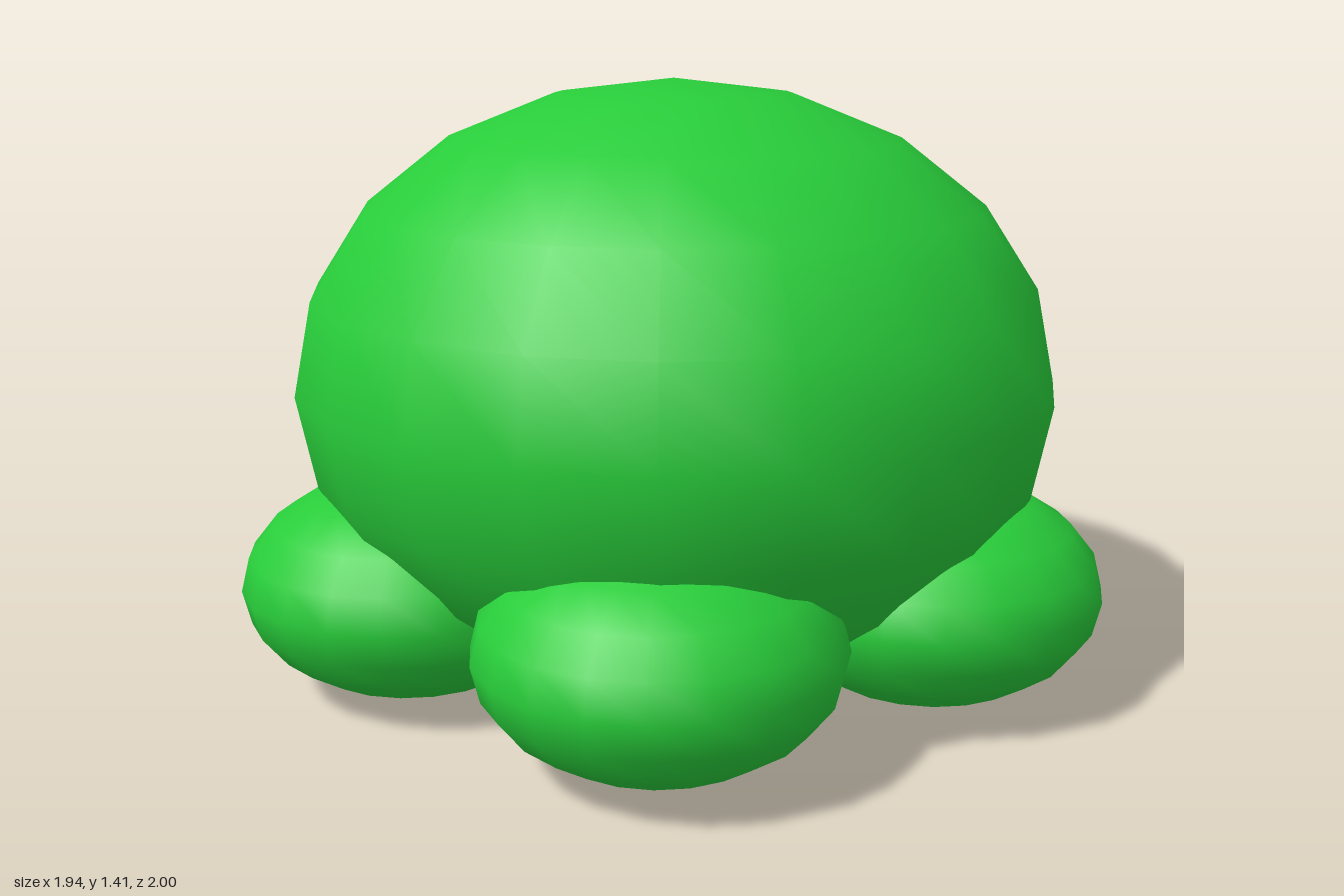
import * as THREE from 'three';

const material = new THREE.MeshStandardMaterial({ color: 0x28cc3a });

// Smooth ellipsoid with a coarse 20 x 10 outline
function ellipsoid(name, radii, position) {
  const geometry = new THREE.SphereGeometry(1, 20, 10);
  geometry.scale(...radii);
  const mesh = new THREE.Mesh(geometry, material);
  mesh.name = name;
  mesh.position.set(...position);
  return mesh;
}

export function createModel() {
  const group = new THREE.Group();
  group.name = 'bush';
  const centreX = -0.06;

  // Large central crown
  group.add(ellipsoid('crown', [0.88, 0.705, 0.907], [centreX, 0.706, 0]));

  // Five low clumps evenly spaced around the base
  const ringRadius = 0.628;
  for (let i = 0; i < 5; i++) {
    const angle = (i / 5) * Math.PI * 2;
    group.add(ellipsoid('clump' + (i + 1), [0.402, 0.256, 0.402], [
      centreX + ringRadius * Math.cos(angle),
      0.26,
      ringRadius * Math.sin(angle),
    ]));
  }
  return group;
}
